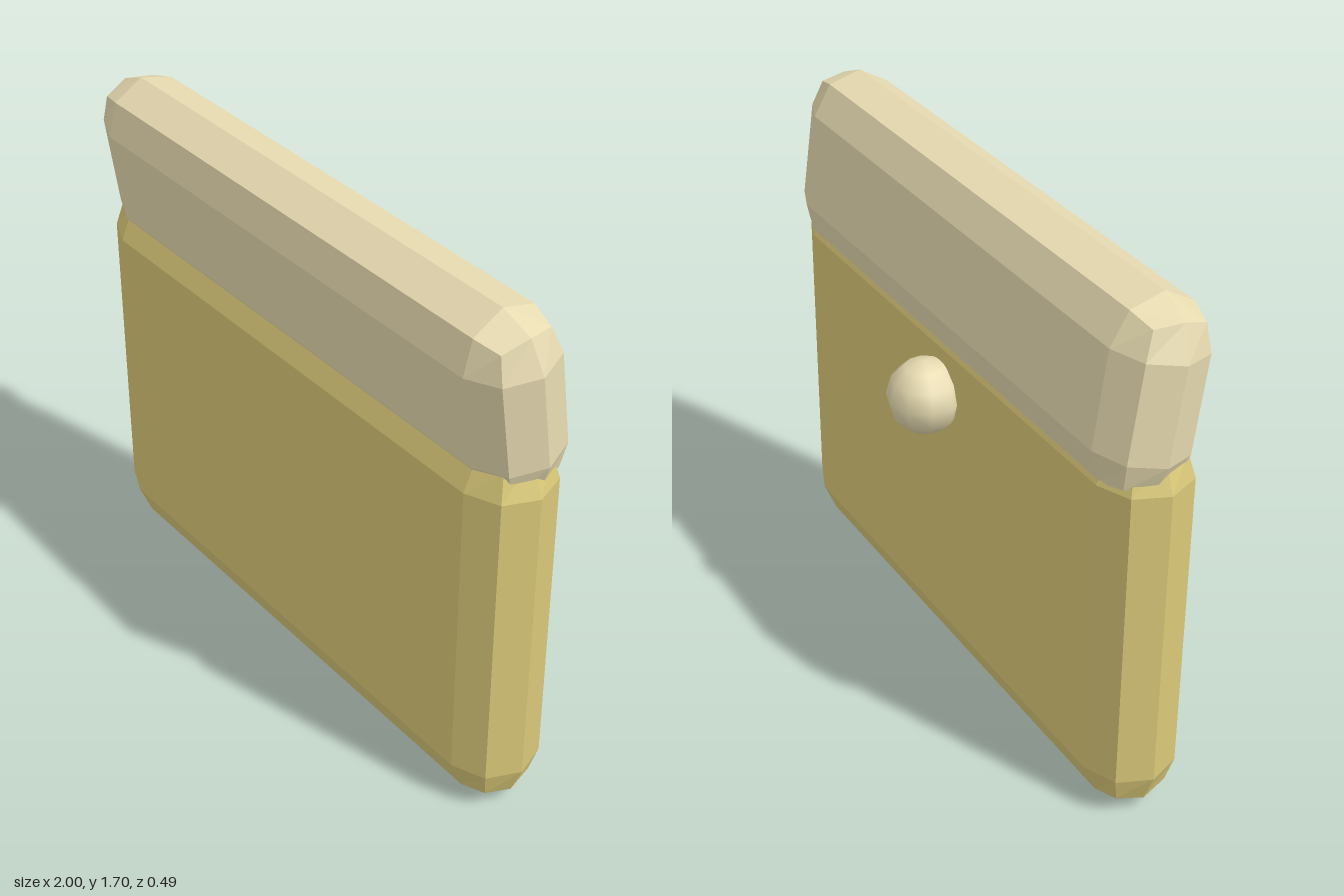
import * as THREE from 'three';
import { RoundedBoxGeometry } from 'three/addons/geometries/RoundedBoxGeometry.js';

const WIDTH = 2, DEPTH = 0.296, BEVEL = 0.148, CENTER_Z = 0.076;

export function createModel() {
  const group = new THREE.Group();
  const bodyMat = new THREE.MeshStandardMaterial({ color: 0xd9c878, flatShading: true });
  const lidMat = new THREE.MeshStandardMaterial({ color: 0xe6dab0, flatShading: true });
  const knobMat = new THREE.MeshStandardMaterial({ color: 0xe6dab0 });

  // Slab with coarse, two-step bevels
  const slab = (name, height, y, material) => {
    const mesh = new THREE.Mesh(new RoundedBoxGeometry(WIDTH, height, DEPTH, 1, BEVEL), material);
    mesh.name = name;
    mesh.position.set(0, y, CENTER_Z);
    group.add(mesh);
    return mesh;
  };

  // Upright main panel
  slab('mainPanel', 1.3, 0.652, bodyMat);

  // Top panel, leaning forward and sunk into the main panel
  slab('topPanel', 0.6, 1.4, lidMat).rotation.x = 0.14;

  // Round knob on the back
  const knob = new THREE.Mesh(new THREE.SphereGeometry(0.12, 10, 6), knobMat);
  knob.name = 'backKnob';
  knob.position.set(0, 1.002, -0.125);
  knob.rotation.y = -Math.PI / 2; // a vertex column points straight back
  group.add(knob);

  return group;
}
